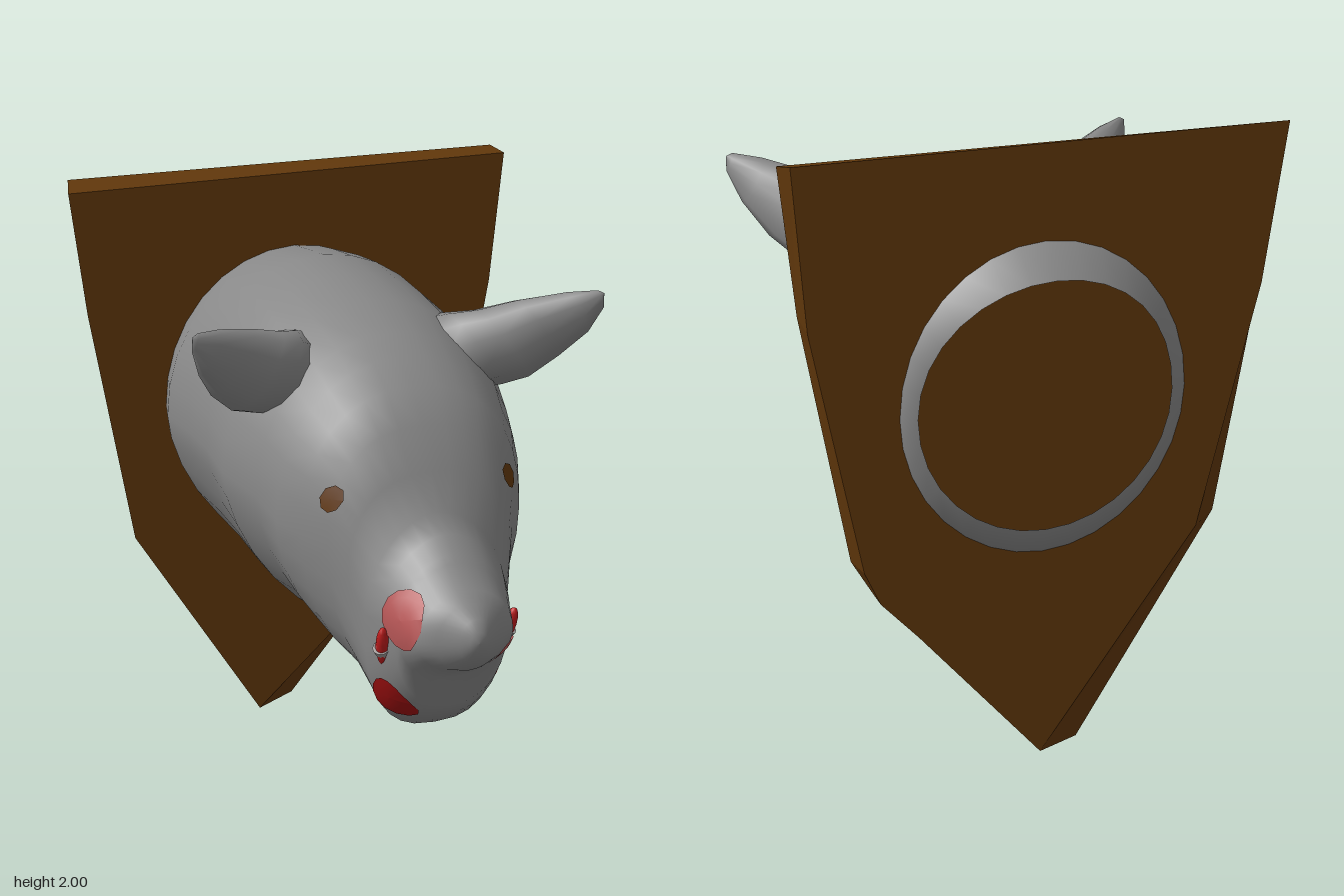
import * as THREE from 'three';

const mat = (name, color) => new THREE.MeshStandardMaterial({ name, color, side: THREE.DoubleSide });

// Skin closed rings of points, ordered counter-clockwise around the direction of travel
function loft(rings, flat = false) {
  const n = rings[0].length, index = [];
  for (let i = 0; i < rings.length - 1; i++) {
    for (let j = 0; j < n; j++) {
      const a = i * n + j, b = i * n + (j + 1) % n;
      index.push(a, b, a + n, b, b + n, a + n);
    }
  }
  let g = new THREE.BufferGeometry().setFromPoints(rings.flat());
  g.setIndex(index);
  if (flat) g = g.toNonIndexed();
  g.computeVertexNormals();
  return g;
}

// Head sections from neck to nose: z, top, bottom, half width, height of widest point
const SECTIONS = [
  [-0.81, 1.61, 0.79, 0.405, 1.2], [-0.79, 1.705, 0.71, 0.455, 1.2],
  [-0.71, 1.725, 0.69, 0.475, 1.2], [-0.60, 1.74, 0.63, 0.505, 1.2],
  [-0.42, 1.76, 0.59, 0.49, 1.2], [-0.23, 1.74, 0.54, 0.49, 1.2],
  [-0.03, 1.70, 0.59, 0.5, 1.18], [0.15, 1.64, 0.635, 0.45, 1.15],
  [0.25, 1.585, 0.60, 0.42, 1.1], [0.35, 1.52, 0.555, 0.375, 1.08],
  [0.43, 1.42, 0.52, 0.315, 1.05], [0.50, 1.29, 0.49, 0.275, 0.98],
  [0.55, 1.175, 0.465, 0.24, 0.87], [0.62, 1.125, 0.52, 0.217, 0.87],
  [0.68, 1.08, 0.58, 0.195, 0.87], [0.70, 1.06, 0.68, 0.188, 0.86],
  [0.78, 1.0, 0.74, 0.16, 0.85], [0.815, 0.97, 0.75, 0.11, 0.85],
  [0.86, 0.935, 0.79, 0.055, 0.86], [0.883, 0.9, 0.83, 0.03, 0.865],
  [0.886, 0.865, 0.865, 0, 0.865],
];
// Roundness along z: below 1 is boxy, above 1 is pinched
const UPPER = [[-0.81, 1], [0.15, 1], [0.43, 0.85], [0.5, 0.85], [0.55, 1.1], [0.7, 1.1], [0.815, 1]];
const LOWER = [[-0.81, 1], [-0.6, 1.2], [-0.23, 1.3], [0.43, 1], [0.55, 0.75], [0.7, 0.85], [0.815, 1]];

// Interpolate the rows of a table at depth z
function sample(table, z) {
  let i = 0;
  while (i < table.length - 2 && table[i + 1][0] < z) i++;
  const a = table[i], b = table[i + 1];
  const k = THREE.MathUtils.clamp((z - a[0]) / (b[0] - a[0]), 0, 1);
  return a.map((v, q) => v + (b[q] - v) * k);
}

// Half width of the head at a given depth and height
function headX(z, y) {
  const [, top, bottom, w, mid] = sample(SECTIONS, z);
  const up = y > mid, p = sample(up ? UPPER : LOWER, z)[1];
  const t = Math.min(0.98, up ? (y - mid) / (top - mid) : (mid - y) / (mid - bottom));
  return w * Math.pow(Math.sqrt(1 - Math.pow(t, 2 / p)), p);
}

function headGeometry() {
  const n = 32;
  return loft(SECTIONS.map(([z, top, bottom, w, mid], i) =>
    Array.from({ length: n }, (_, j) => {
      const a = (j / n) * Math.PI * 2, c = Math.cos(a), s = Math.sin(a);
      const p = sample(s > 0 ? UPPER : LOWER, z)[1];
      const x = w * Math.sign(c) * Math.pow(Math.abs(c), p);
      const y = mid + (s > 0 ? top - mid : bottom - mid) * Math.pow(Math.abs(s), p);
      // the open neck end leans back at the top
      return new THREE.Vector3(x, y, i === 0 ? z - 0.07 * Math.max(0, s) ** 2 : z);
    })));
}

// Thin oval wrapped onto one side of the head
function patchGeometry(side, z, y, rz, ry, tilt = 0, sides = 14) {
  const g = new THREE.RingGeometry(0.001, 1, sides, 4);
  const p = g.attributes.position, c = Math.cos(tilt), s = Math.sin(tilt);
  for (let i = 0; i < p.count; i++) {
    const u = p.getX(i) * rz, v = p.getY(i) * ry;
    const pz = z + u * c - v * s, py = y + u * s + v * c;
    p.setXYZ(i, side * (headX(pz, py) + 0.007), py, pz);
  }
  g.computeVertexNormals();
  return g;
}

// Ear: rings narrowing outward and forward: centre, half height vector, half depth
function earGeometry(side) {
  const rows = [
    [0.27, 1.49, -0.06, -0.07, 0.12, 0.2], [0.345, 1.52, 0.03, -0.085, 0.125, 0.155],
    [0.42, 1.545, 0.09, -0.085, 0.12, 0.12], [0.52, 1.60, 0.145, -0.07, 0.1, 0.09],
    [0.62, 1.665, 0.23, -0.035, 0.07, 0.055], [0.68, 1.715, 0.28, -0.01, 0.03, 0.015],
    [0.69, 1.735, 0.285, 0, 0, 0],
  ];
  return loft(rows.map(([x, y, z, ux, uy, d]) => Array.from({ length: 12 }, (_, j) => {
    const a = (j / 12) * Math.PI * 2, c = Math.cos(a), s = Math.sin(a);
    return new THREE.Vector3(side * (x + ux * c), y + uy * c, z + side * side * d * s * side);
  })));
}

// Shield-shaped board with a bevelled rim
function plaqueGeometry() {
  const front = [[-0.79, 1.97], [-0.74, 1.55], [-0.6, 0.73], [-0.15, 0.005], [0.38, 0.485],
    [0.52, 0.61], [0.59, 0.73], [0.74, 1.53], [0.79, 1.985]];
  const back = [[-0.77, 2], [-0.7, 1.5], [-0.51, 0.72], [0, 0.015], [0.4, 0.48],
    [0.52, 0.61], [0.57, 0.72], [0.73, 1.5], [0.77, 2]];
  const ring = (pts, z) => pts.map(([x, y]) => new THREE.Vector3(x, y, z));
  const centre = front.map(() => [0, 1.2]);
  return loft([ring(centre, -0.79), ring(back, -0.79), ring(front, -0.715), ring(centre, -0.715)], true);
}

export function createModel() {
  const group = new THREE.Group();
  const fur = mat('grey fur', 0x888888);
  const wood = mat('brown wood', 0x62380b);
  const red = mat('red', 0xc01c1c);
  const darkRed = mat('dark red', 0xa01010);
  const pink = mat('faded red', 0xb65656);
  const ivory = mat('pale tooth', 0x9c9694);
  const add = (name, geometry, material) => {
    const mesh = new THREE.Mesh(geometry, material);
    mesh.name = name;
    group.add(mesh);
    return mesh;
  };
  // Centre a mesh between two points with its own y axis along them
  const span = (mesh, from, to) => {
    mesh.position.copy(from).lerp(to, 0.5);
    mesh.quaternion.setFromUnitVectors(new THREE.Vector3(0, 1, 0), to.clone().sub(from).normalize());
  };

  add('plaque', plaqueGeometry(), wood);
  add('head', headGeometry(), fur);

  for (const side of [1, -1]) {
    const label = side > 0 ? 'left' : 'right';
    const point = (x, y, z) => new THREE.Vector3(side * x, y, z);
    add(label + 'Ear', earGeometry(side), fur);
    add(label + 'Eye', patchGeometry(side, 0.428, 1.215, 0.029, 0.043, 0, 8), wood);

    // red lip slit with a fang hanging from it
    const lip = add(label + 'Lip', new THREE.SphereGeometry(1, 12, 10), red);
    lip.scale.set(0.022, 0.082, 0.026);
    span(lip, point(0.222, 0.855, 0.655), point(0.195, 0.72, 0.6));
    const gum = add(label + 'Gum', new THREE.SphereGeometry(1, 10, 8), pink);
    gum.scale.set(0.02, 0.04, 0.018);
    span(gum, point(0.222, 0.815, 0.64), point(0.207, 0.755, 0.612));
    const from = point(0.215, 0.785, 0.628), to = point(0.18, 0.69, 0.585);
    const fang = add(label + 'Fang', new THREE.ConeGeometry(0.028, from.distanceTo(to), 10), ivory);
    span(fang, from, to);
  }

  // stains on the muzzle and jaw
  add('jawStreak', patchGeometry(1, 0.54, 0.605, 0.014, 0.09, -0.5), red);
  add('muzzleStainLeft', patchGeometry(1, 0.77, 0.785, 0.035, 0.035), pink);
  add('muzzleStainRight', patchGeometry(-1, 0.71, 0.9, 0.075, 0.095, 0.35), pink);
  add('jawStainRight', patchGeometry(-1, 0.605, 0.6, 0.05, 0.075, -0.2), darkRed);
  for (const [z, y] of [[0.46, 0.8], [0.43, 0.73]]) {
    add('stainDrop', patchGeometry(1, z, y, 0.012, 0.01), red);
  }
  return group;
}
